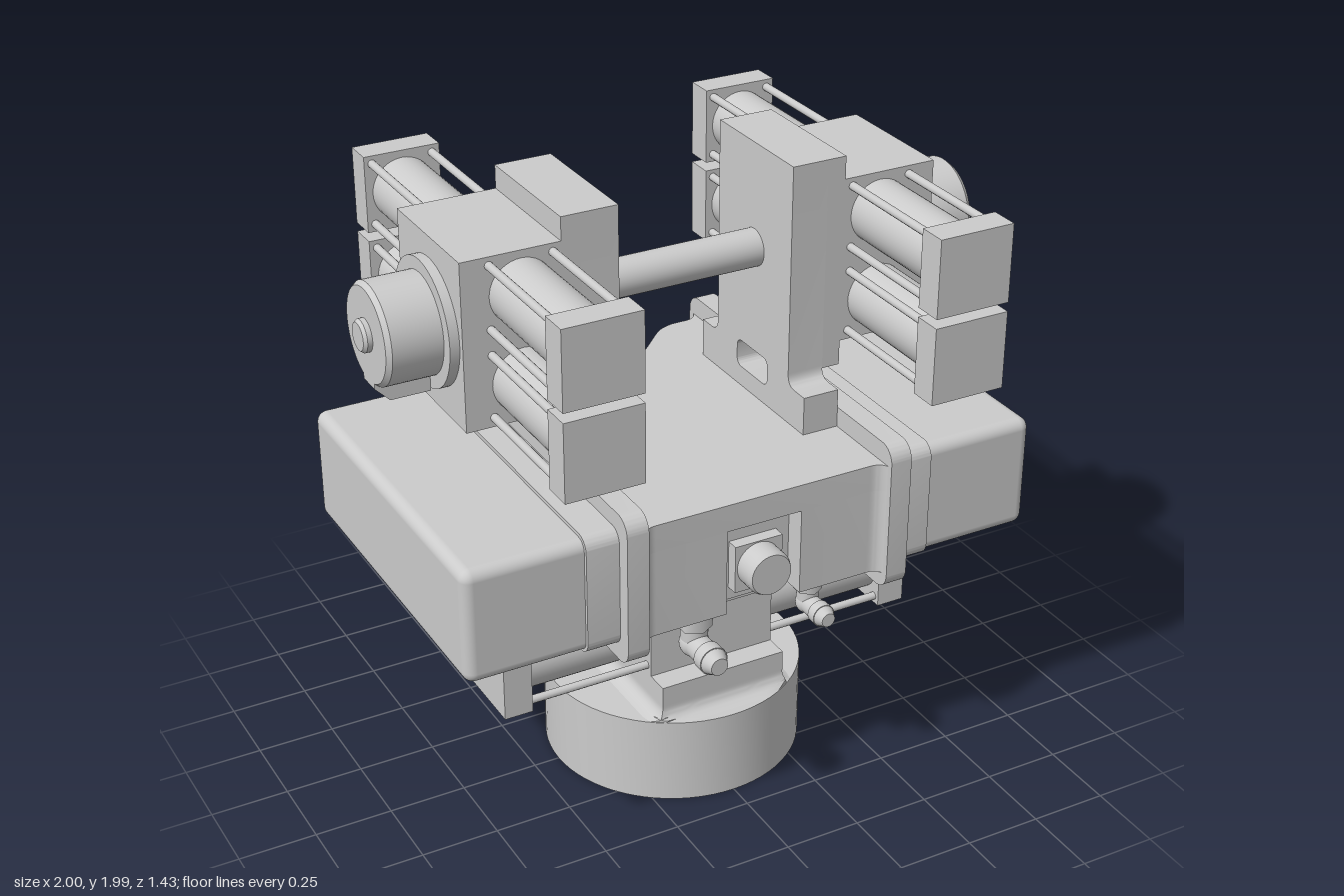
import * as THREE from 'three';
import { toCreasedNormals } from 'three/addons/utils/BufferGeometryUtils.js';
import { RoundedBoxGeometry } from 'three/addons/geometries/RoundedBoxGeometry.js';

const grey = new THREE.MeshStandardMaterial({ color: 0xcccccc });

function add(parent, name, geometry) {
  const mesh = new THREE.Mesh(geometry, grey);
  mesh.name = name;
  parent.add(mesh);
  return mesh;
}

// Box given by its limits on each axis
function box(parent, name, [x0, x1], [y0, y1], [z0, z1]) {
  return add(parent, name, new THREE.BoxGeometry(x1 - x0, y1 - y0, z1 - z0)
    .translate((x0 + x1) / 2, (y0 + y1) / 2, (z0 + z1) / 2));
}

// Rod between a and b, along axis 'x', 'y' or 'z', through point [u, v] of the other two axes
function rod(parent, name, axis, a, b, [u, v], r0, r1 = r0, sides = 40) {
  const g = new THREE.CylinderGeometry(r1, r0, b - a, sides);
  const m = (a + b) / 2;
  if (axis === 'x') g.rotateZ(-Math.PI / 2).translate(m, u, v);
  else if (axis === 'y') g.translate(u, m, v);
  else g.rotateX(Math.PI / 2).translate(u, v, m);
  return add(parent, name, g);
}

const extrude = (shape, depth) => toCreasedNormals(
  new THREE.ExtrudeGeometry(shape, { depth, bevelEnabled: false, curveSegments: 10 }), 0.6);

// Side profile (horizontal = -z, vertical = y) extruded from x0 to x1
function slabX(parent, name, shape, x0, x1) {
  return add(parent, name, extrude(shape, x1 - x0).rotateY(Math.PI / 2).translate(x0, 0, 0));
}

// Plan (x, z) extruded from y0 to y1
function slabY(parent, name, shape, y0, y1) {
  return add(parent, name, extrude(shape, y1 - y0).rotateX(Math.PI / 2).translate(0, y1, 0));
}

function roundRect(w, y0, y1, r, path = new THREE.Shape()) {
  path.moveTo(-w + r, y0).lineTo(w - r, y0);
  path.absarc(w - r, y0 + r, r, -Math.PI / 2, 0);
  path.absarc(w - r, y1 - r, r, 0, Math.PI / 2);
  path.absarc(-w + r, y1 - r, r, Math.PI / 2, Math.PI);
  path.absarc(-w + r, y0 + r, r, Math.PI, Math.PI * 1.5);
  return path;
}

// Double-ended pneumatic cylinder along z, centred on its own origin
function airCylinder(name, inner) {
  const g = new THREE.Group();
  g.name = name;
  for (const s of [1, -1]) {
    const end = s * 0.62, span = [Math.min(s * inner, end), Math.max(s * inner, end)];
    box(g, 'endBlock', [-0.123, 0.123], [-0.123, 0.123], s > 0 ? [0.62, 0.713] : [-0.713, -0.62]);
    rod(g, 'cylinderTube', 'z', ...span, [0, 0], 0.1);
    for (const x of [-0.098, 0.098]) for (const y of [-0.098, 0.098])
      rod(g, 'tieRod', 'z', ...span, [x, y], 0.013, 0.013, 12);
  }
  return g;
}

function bodyPlan(recess) {
  const s = new THREE.Shape();
  s.moveTo(-0.41, 0.61).quadraticCurveTo(-0.4, 0.57, -0.36, 0.57);
  if (recess) s.lineTo(-0.125, 0.57).lineTo(-0.125, 0.5).lineTo(0.125, 0.5).lineTo(0.125, 0.57);
  s.lineTo(0.36, 0.57).quadraticCurveTo(0.4, 0.57, 0.41, 0.61);
  s.lineTo(0.41, -0.61).quadraticCurveTo(0.4, -0.555, 0.36, -0.555);
  s.lineTo(0.31, -0.555).quadraticCurveTo(0.265, -0.55, 0.23, -0.52);
  s.lineTo(0.1, -0.39).quadraticCurveTo(0.055, -0.345, 0, -0.345);
  s.quadraticCurveTo(-0.055, -0.345, -0.1, -0.39).lineTo(-0.23, -0.52);
  s.quadraticCurveTo(-0.265, -0.55, -0.31, -0.555).lineTo(-0.36, -0.555);
  s.quadraticCurveTo(-0.4, -0.555, -0.41, -0.61);
  return s;
}

function elbow(x, k) {
  const g = new THREE.Group();
  g.name = 'elbowFitting';
  rod(g, 'fittingNut', 'y', 0.06, 0.12, [0, 0], 0.055, 0.055, 6);
  rod(g, 'fittingStem', 'y', 0, 0.07, [0, 0], 0.042);
  add(g, 'fittingBend', new THREE.SphereGeometry(0.046, 24, 16));
  rod(g, 'fittingArm', 'z', 0, 0.08, [0, 0], 0.04);
  rod(g, 'fittingCollar', 'z', 0.08, 0.12, [0, 0], 0.046);
  rod(g, 'fittingTip', 'z', 0.12, 0.155, [0, 0], 0.043, 0.028);
  g.scale.setScalar(k);
  g.position.set(x, 0.79 - 0.12 * k, 0.5);
  return g;
}

function sideAssembly() {
  const g = new THREE.Group();
  g.name = 'sideAssembly';

  // Wing: flange, step and rounded cover
  slabX(g, 'wingFlange', roundRect(0.615, 0.73, 1.22, 0.055), 0.405, 0.475);
  slabX(g, 'coverBase', roundRect(0.567, 0.777, 1.167, 0.045), 0.475, 0.58);
  add(g, 'wingCover', new RoundedBoxGeometry(0.455, 0.37, 1.11, 5, 0.035).translate(0.7275, 0.97, 0));

  // Upright bracket with filleted foot and a slot
  const foot = new THREE.Shape();
  foot.moveTo(-0.31, 1.15).lineTo(0.31, 1.15).lineTo(0.31, 1.28).lineTo(0.255, 1.28);
  foot.quadraticCurveTo(0.215, 1.28, 0.215, 1.32).lineTo(0.215, 1.99).lineTo(-0.215, 1.99);
  foot.lineTo(-0.215, 1.32).quadraticCurveTo(-0.215, 1.28, -0.255, 1.28).lineTo(-0.31, 1.28);
  foot.holes.push(roundRect(0.092, 1.22, 1.31, 0.025, new THREE.Path()));
  slabX(g, 'bracketPlate', foot, 0.285, 0.405);
  box(g, 'bracketUpper', [0.405, 0.465], [1.31, 1.99], [-0.215, 0.215]);

  // Rotary housing with two cylinders stacked
  box(g, 'rotaryHousing', [0.465, 0.775], [1.39, 1.917], [-0.215, 0.215]);
  for (const y of [1.518, 1.793]) {
    const c = airCylinder('upperCylinder', 0.21);
    c.position.set(0.589, y, 0);
    g.add(c);
  }

  // Sensor cap with lug
  rod(g, 'capFlange', 'x', 0.775, 0.805, [1.655, 0], 0.195, 0.195, 64);
  rod(g, 'sensorCap', 'x', 0.805, 0.96, [1.655, 0], 0.155, 0.155, 64);
  rod(g, 'sensorCapRim', 'x', 0.96, 0.975, [1.655, 0], 0.155, 0.143, 64);
  rod(g, 'shaftEnd', 'x', 0.975, 0.99, [1.655, 0], 0.05);
  rod(g, 'shaftEndChamfer', 'x', 0.99, 1, [1.655, 0], 0.05, 0.042);
  const lug = new THREE.Shape();
  lug.moveTo(0.805, 1.455).lineTo(0.93, 1.455).lineTo(0.975, 1.5).lineTo(0.975, 1.53).lineTo(0.805, 1.53);
  add(g, 'capLug', extrude(lug, 0.08).translate(0, 0, -0.04));
  return g;
}

export function createModel() {
  const model = new THREE.Group();
  model.name = 'gripperMechanism';

  // Round base with a shallow recess underneath
  const profile = [[0, 0.008], [0.28, 0.008], [0.28, 0], [0.415, 0], [0.415, 0.29], [0, 0.29]]
    .map(([x, y]) => new THREE.Vector2(x, y));
  add(model, 'base', toCreasedNormals(new THREE.LatheGeometry(profile, 72), 0.6));

  // Pedestal block flaring out onto the base
  const flare = new THREE.BoxGeometry(0.43, 0.12, 0.68, 16, 16, 16).translate(0, 0.35, 0);
  const p = flare.attributes.position, r = 0.045;
  for (let i = 0; i < p.count; i++) {
    const t = Math.min(1, (p.getY(i) - 0.29) / r);
    const f = r * (1 - Math.sqrt(Math.max(0, 1 - (1 - t) ** 2)));
    let x = p.getX(i) * (1 + f / 0.215), z = p.getZ(i) * (1 + f / 0.34);
    const k = Math.min(1, 0.413 / (Math.hypot(x, z) || 1));
    p.setXYZ(i, x * k, p.getY(i), z * k);
  }
  add(model, 'pedestal', toCreasedNormals(flare, 0.6));

  // Lower rotary housing, two cylinders side by side, and top plate
  box(model, 'lowerHousing', [-0.215, 0.215], [0.41, 0.66], [-0.263, 0.263]);
  for (const z of [-0.139, 0.139]) {
    const c = airCylinder('lowerCylinder', 0.21);
    c.rotation.y = Math.PI / 2;
    c.position.set(0, 0.537, z);
    model.add(c);
  }
  box(model, 'mountPlate', [-0.215, 0.215], [0.66, 0.8], [-0.34, 0.34]);

  // Main body: pocket in the front, valley in the back
  slabY(model, 'bodyLower', bodyPlan(true), 0.785, 1.067);
  slabY(model, 'bodyUpper', bodyPlan(false), 1.067, 1.155);
  const wedge = new THREE.Shape();
  wedge.moveTo(0.33, 0.785).lineTo(0.41, 0.785).lineTo(0.345, 1.15).lineTo(0.33, 1.15);
  slabX(model, 'valleySlope', wedge, -0.09, 0.09);

  // Front connector and hose fittings
  box(model, 'connectorBase', [-0.08, 0.08], [0.828, 0.985], [0.49, 0.54]);
  rod(model, 'connectorBarrel', 'z', 0.53, 0.6, [0, 0.908], 0.073);
  rod(model, 'connectorRim', 'z', 0.6, 0.615, [0, 0.908], 0.073, 0.066);
  model.add(elbow(-0.195, 1), elbow(0.198, 0.8));

  // Shaft joining the two uprights
  for (const s of [[-0.3, 0], [0, 0.3]]) rod(model, 'crossShaft', 'x', ...s, [1.655, 0], 0.06);

  // Matching left and right assemblies
  for (const a of [0, Math.PI]) {
    const side = sideAssembly();
    side.rotation.y = a;
    model.add(side);
  }
  return model;
}
